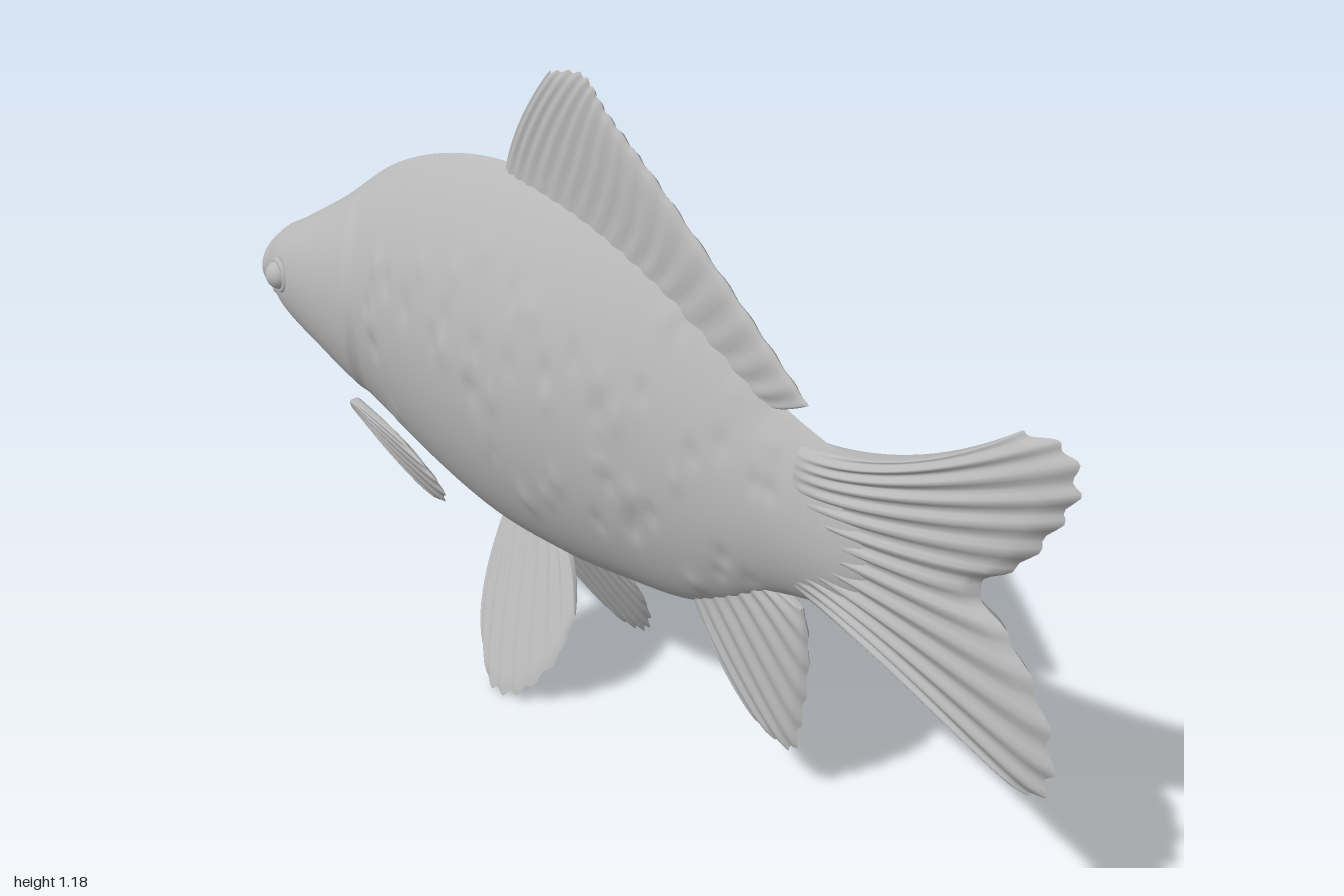
import * as THREE from 'three';

const skin = new THREE.MeshStandardMaterial({ color: 0xb8b8b8 });
skin.name = 'grey skin';

// Skin a wrapped tube of rows; point(s, a) gives [x, y, z] for s in 0..1, a in 0..2PI
function loft(name, rows, cols, point) {
  const pos = [], index = [];
  for (let i = 0; i <= rows; i++)
    for (let j = 0; j < cols; j++) pos.push(...point(i / rows, (j / cols) * Math.PI * 2));
  for (let i = 0; i < rows; i++)
    for (let j = 0; j < cols; j++) {
      const k = (j + 1) % cols;
      const a = i * cols + j, b = a + cols, c = i * cols + k, d = c + cols;
      index.push(a, b, c, b, d, c);
    }
  const g = new THREE.BufferGeometry();
  g.setAttribute('position', new THREE.Float32BufferAttribute(pos, 3));
  g.setIndex(index);
  g.computeVertexNormals();
  const mesh = new THREE.Mesh(g, skin);
  mesh.name = name;
  return mesh;
}

// Body stations: x, top, bottom, half width
const stations = [
  [-1.0, 0.535, 0.535, 0.0], [-0.988, 0.578, 0.505, 0.034], [-0.95, 0.625, 0.478, 0.052],
  [-0.88, 0.67, 0.447, 0.082], [-0.75, 0.755, 0.4, 0.104], [-0.6, 0.865, 0.345, 0.118],
  [-0.45, 0.932, 0.293, 0.138], [-0.28, 0.967, 0.252, 0.147], [-0.1, 0.958, 0.246, 0.142],
  [0.05, 0.92, 0.26, 0.122], [0.2, 0.858, 0.285, 0.092], [0.3, 0.802, 0.328, 0.072],
  [0.4, 0.745, 0.388, 0.057], [0.5, 0.714, 0.414, 0.046], [0.6, 0.69, 0.44, 0.036],
  [0.68, 0.62, 0.52, 0.004],
];
const profile = new THREE.CubicInterpolant(
  stations.map((s) => s[0]), stations.flatMap((s) => s.slice(1)), 3, new Float32Array(3));

// Seeded scatter of raised and sunken scales
let seed = 7;
const rnd = () => (seed = (seed * 16807) % 2147483647) / 2147483647;
const scales = Array.from({ length: 130 }, () => ({
  x: -0.55 + rnd() * 1.0, y: 0.3 + rnd() * 0.55, side: rnd() < 0.5 ? -1 : 1,
  amp: rnd() < 0.5 ? -0.006 : 0.005, r: 0.01 + rnd() * 0.008,
}));

function bodyPoint(s, a) {
  const x = -1 + 1.68 * Math.pow(s, 1.25);
  const [top, bottom, w] = profile.evaluate(x);
  const head = THREE.MathUtils.smoothstep(-x, 0.5, 0.9);
  const mid = THREE.MathUtils.lerp((top + bottom) / 2 - 0.02 * (1 - head), (top + bottom) / 2, head);
  const sn = Math.sin(a), cs = Math.cos(a);
  const y = mid + sn * (sn > 0 ? top - mid : mid - bottom);
  // Sharper back, rounder belly and head
  const power = THREE.MathUtils.lerp(sn > 0 ? 1.8 : 1.35, 1.15, head);
  let z = w * Math.pow(Math.abs(cs), power);
  // Gill cover standing proud of the flank
  const gill = -0.6 - 1.6 * (y - 0.58) ** 2;
  const plate = 1 - THREE.MathUtils.smoothstep(x, gill - 0.012, gill + 0.018);
  z *= 1 + 0.09 * plate * THREE.MathUtils.smoothstep(x, -0.85, -0.66);
  const side = Math.sign(cs);
  for (const b of scales) {
    if (b.side !== side) continue;
    const d = ((x - b.x) / b.r) ** 2 + ((y - b.y) / (b.r * 1.5)) ** 2;
    if (d < 6 && x > gill + 0.03) z += b.amp * Math.exp(-d) * Math.abs(cs);
  }
  return [x, y, side * z];
}

// Ribbed fin through three rows of points, base to tip; zAt shifts it sideways
function fin(name, rows, thick, rays, zAt = () => 0) {
  const [A, B, C] = rows.map((r) => new THREE.SplineCurve(r.map((p) => new THREE.Vector2(...p))));
  return loft(name, 28, 200, (s, a) => {
    const u = (1 - Math.cos(a)) / 2;
    const ray = Math.cos(u * rays * Math.PI * 2);
    const v = s * (1 + 0.012 * ray * s);
    const p = A.getPoint(u).multiplyScalar((1 - v) * (1 - 2 * v))
      .addScaledVector(B.getPoint(u), 4 * v * (1 - v))
      .addScaledVector(C.getPoint(u), v * (2 * v - 1));
    const t = thick * Math.sqrt(Math.abs(Math.sin(a))) * Math.sqrt(1 - s ** 6) * (1 - 0.3 * s) * (1 + 0.17 * ray * Math.min(1, s * 3));
    return [p.x, p.y, zAt(p.x, p.y) + Math.sign(Math.sin(a)) * t];
  });
}

function ball(name, x, y, z, rx, ry, rz) {
  const m = new THREE.Mesh(new THREE.SphereGeometry(1, 28, 18), skin);
  m.name = name;
  m.position.set(x, y, z);
  m.scale.set(rx, ry, rz);
  return m;
}

export function createModel() {
  const fish = new THREE.Group();
  fish.name = 'fish';
  fish.add(loft('body', 220, 112, bodyPoint));

  // Lips
  fish.add(ball('upperLip', -0.967, 0.535, 0, 0.03, 0.016, 0.042));
  fish.add(ball('lowerLip', -0.953, 0.497, 0, 0.03, 0.015, 0.036));

  // Fins on the centre line
  fish.add(fin('tailFin', [
    [[0.46, 0.43], [0.46, 0.7]],
    [[0.68, 0.36], [0.64, 0.57], [0.67, 0.757]],
    [[0.88, 0.285], [0.96, 0.265], [0.992, 0.32], [0.97, 0.42], [0.9, 0.52], [0.825, 0.587],
      [0.9, 0.66], [0.96, 0.75], [0.994, 0.83], [0.965, 0.89], [0.88, 0.885]],
  ], 0.04, 14));
  fish.add(fin('dorsalFin', [
    [[0.37, 0.73], [0.1, 0.86], [-0.12, 0.92], [-0.28, 0.93]],
    [[0.415, 0.745], [0.14, 0.92], [-0.08, 1.04], [-0.245, 1.04]],
    [[0.455, 0.765], [0.3, 0.89], [0.1, 1.045], [-0.02, 1.13], [-0.08, 1.182], [-0.165, 1.165]],
  ], 0.02, 17));
  fish.add(fin('analFin', [
    [[0.2, 0.31], [0.38, 0.41]],
    [[0.27, 0.2], [0.43, 0.395]],
    [[0.36, 0.11], [0.41, 0.093], [0.45, 0.097], [0.465, 0.16], [0.475, 0.24], [0.475, 0.32], [0.46, 0.385]],
  ], 0.02, 8));

  // Paired parts
  for (const [label, k] of [['left', 1], ['right', -1]]) {
    // The head points to -x, so the near flank is +z
    fish.add(fin(label + 'PelvicFin', [
      [[-0.27, 0.29], [-0.1, 0.28]],
      [[-0.257, 0.15], [-0.06, 0.24]],
      [[-0.21, 0.06], [-0.17, 0.012], [-0.12, 0.008], [-0.07, 0.04], [-0.03, 0.11], [-0.025, 0.18]],
    ], 0.014, 8, (x, y) => k * (0.036 + (0.26 - y) * 0.51)));
    fish.add(fin(label + 'PectoralFin', [
      [[-0.6, 0.39], [-0.6, 0.42]],
      [[-0.49, 0.315], [-0.48, 0.425]],
      [[-0.42, 0.288], [-0.35, 0.3], [-0.305, 0.345], [-0.33, 0.385], [-0.4, 0.415]],
    ], 0.013, 6, (x, y) => k * (0.16 + (x + 0.35) * 0.2 + (y - 0.4) * 0.45)));
    fish.add(ball(label + 'Eye', -0.87, 0.575, k * 0.078, 0.029, 0.029, 0.03));
    const lid = new THREE.Mesh(new THREE.TorusGeometry(0.029, 0.007, 10, 32), skin);
    lid.name = label + 'Eyelid';
    lid.position.set(-0.87, 0.575, k * 0.081);
    lid.rotation.y = -k * 0.25;
    fish.add(lid);
  }
  return fish;
}
